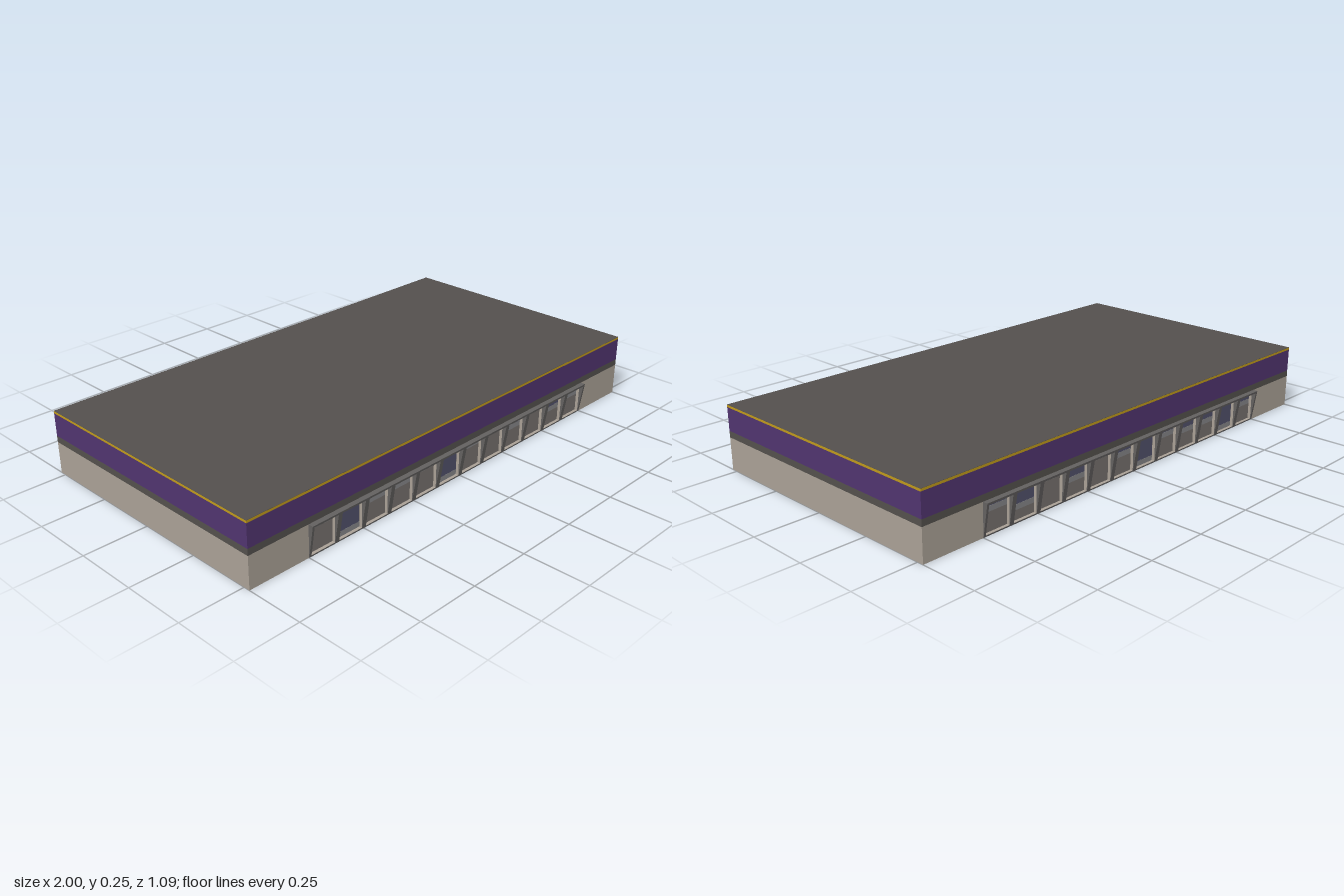
import * as THREE from 'three';

const W = 2, D = 1.05, WALL_H = 0.125, WALL_T = 0.012;
const BAYS = 12, PITCH = 0.125, HALF = BAYS * PITCH / 2;
const HOLE_W = 0.107, HOLE_BOTTOM = 0.005, HOLE_TOP = 0.117;

// Height of each door's lower edge, from -x to +x
const FRONT_DOORS = [0.09, 0.005, 0.075, 0.075, 0.09, 0.005, 0.085, 0.097, 0.07, 0.097, 0.06, 0.075];
const BACK_DOORS = [0.068, 0.005, 0.06, 0.06, 0.075, 0.005, 0.07, 0.097, 0.055, 0.097, 0.04, 0.075];

const mat = (color) => new THREE.MeshStandardMaterial({ color });
const concrete = mat(0xaaa196);
const roofGrey = mat(0x54504d);
const purple = mat(0x51346f);
const gold = mat(0xc09a1c);
const sealGrey = mat(0x636160);
const doorBlue = mat(0x50506a);
const barGrey = mat(0x858588);

function box(name, w, h, d, x, y, z, material) {
  const mesh = new THREE.Mesh(new THREE.BoxGeometry(w, h, d), material);
  mesh.name = name;
  mesh.position.set(x, y, z);
  return mesh;
}

const bayX = (i) => -HALF + PITCH * (i + 0.5);

// Upright panel pierced by one rectangular opening per bay
function piercedPanel(halfWidth, depth) {
  const rect = (path, x0, y0, x1, y1) =>
    path.moveTo(x0, y0).lineTo(x1, y0).lineTo(x1, y1).lineTo(x0, y1).closePath();
  const shape = new THREE.Shape();
  rect(shape, -halfWidth, 0, halfWidth, WALL_H);
  for (let i = 0; i < BAYS; i++) {
    const hole = new THREE.Path();
    rect(hole, bayX(i) - HOLE_W / 2, HOLE_BOTTOM, bayX(i) + HOLE_W / 2, HOLE_TOP);
    shape.holes.push(hole);
  }
  return new THREE.ExtrudeGeometry(shape, { depth, bevelEnabled: false });
}

// One long side: wall, dock seals leaning outward at the top, and doors
function dockSide(name, doors) {
  const side = new THREE.Group();
  side.name = name;

  const wall = new THREE.Mesh(piercedPanel(W / 2, WALL_T), concrete);
  wall.name = 'dockWall';
  wall.position.z = D / 2 - WALL_T;
  side.add(wall);

  const sealGeo = piercedPanel(HALF, 1);
  const p = sealGeo.attributes.position;
  for (let i = 0; i < p.count; i++) {
    p.setZ(i, p.getZ(i) * (0.0005 + 0.0195 * p.getY(i) / WALL_H));
  }
  sealGeo.computeVertexNormals();
  const seals = new THREE.Mesh(sealGeo, sealGrey);
  seals.name = 'dockSeals';
  seals.position.z = D / 2;
  side.add(seals);

  doors.forEach((low, i) => {
    const bar = 0.02, z = D / 2 - WALL_T - 0.003;
    const split = Math.min(low + bar, HOLE_TOP);
    const panelH = WALL_H - split;
    side.add(box('doorPanel', HOLE_W, panelH, 0.005, bayX(i), split + panelH / 2, z, doorBlue));
    side.add(box('doorBottomBar', HOLE_W, split - low, 0.006, bayX(i), (split + low) / 2, z, barGrey));
  });
  return side;
}

export function createModel() {
  const model = new THREE.Group();
  model.name = 'dockTerminal';

  model.add(box('floor', W - 0.004, 0.004, D - 0.004, 0, 0.002, 0, roofGrey));

  // End walls
  for (const s of [-1, 1]) {
    model.add(box('endWall', WALL_T, WALL_H, D - 2 * WALL_T, s * (W - WALL_T) / 2, WALL_H / 2, 0, concrete));
  }

  // Two loading sides
  model.add(dockSide('frontDocks', FRONT_DOORS));
  const back = dockSide('backDocks', [...BACK_DOORS].reverse());
  back.rotation.y = Math.PI;
  model.add(back);

  // Stacked bands of the upper facade and the roof
  model.add(box('greyBand', W, 0.025, D, 0, 0.1375, 0, roofGrey));
  model.add(box('purpleFascia', W, 0.09, D, 0, 0.195, 0, purple));
  model.add(box('goldTrim', W, 0.009, D, 0, 0.2445, 0, gold));
  model.add(box('roof', W, 0.001, D, 0, 0.2495, 0, roofGrey));

  return model;
}
